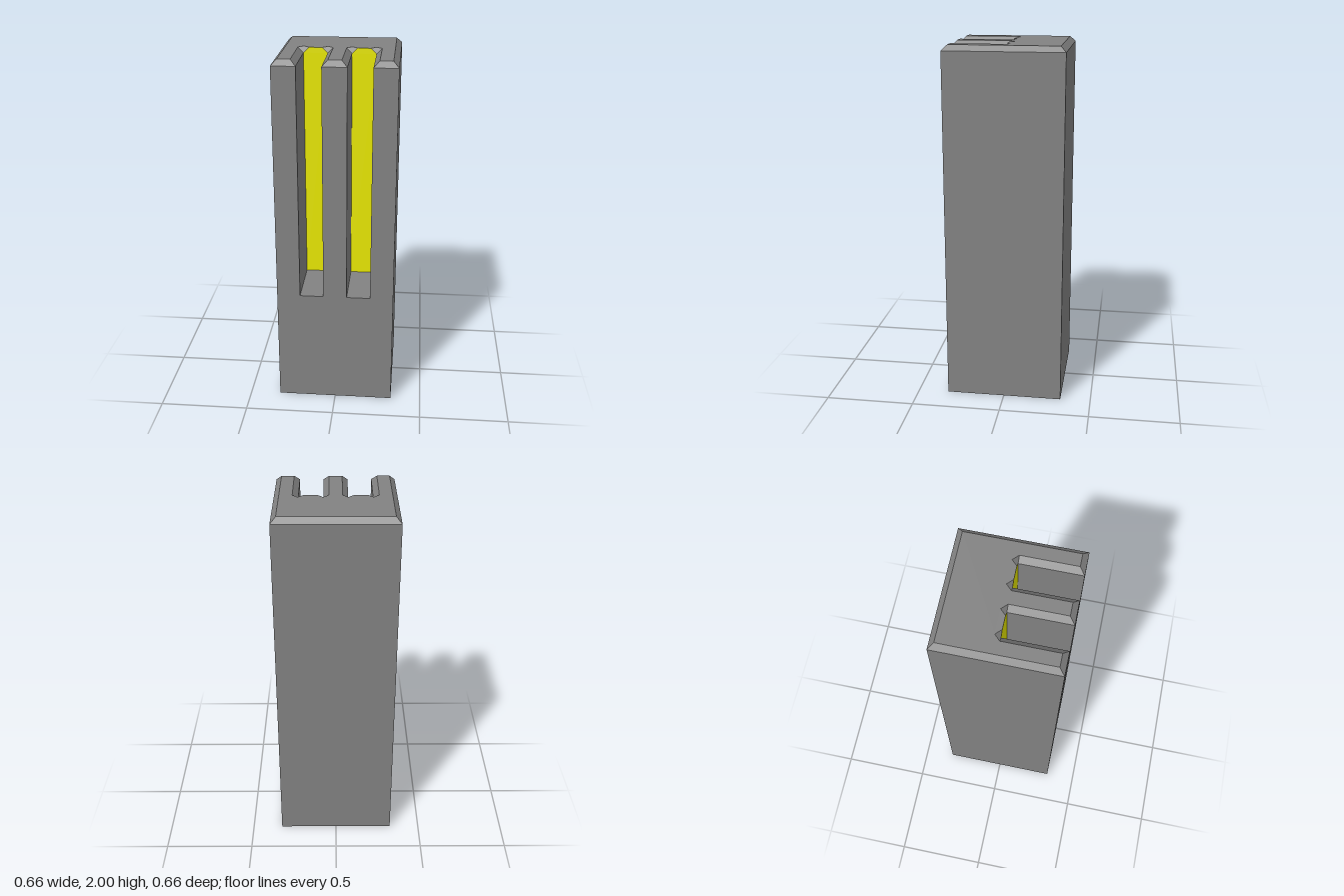
import * as THREE from 'three';

const H = 0.328, C = 0.03, TOP = 2, SHOULDER = TOP - C, FLOOR = 0.66;
const SLOTS = [[-0.198, -0.066], [0.066, 0.198]];
const GREY = 0x828282, YELLOW = 0xe8e800;

// Mesh from quads [a, b, c, d], counter-clockwise from outside; flat unless one shared normal is given
function quadMesh(name, quads, color, normal) {
  const pos = [];
  for (const [a, b, c, d] of quads) pos.push(...a, ...b, ...c, ...a, ...c, ...d);
  const geo = new THREE.BufferGeometry();
  geo.setAttribute('position', new THREE.Float32BufferAttribute(pos, 3));
  geo.computeVertexNormals();
  if (normal) {
    const n = geo.attributes.normal;
    for (let i = 0; i < n.count; i++) n.setXYZ(i, normal.x, normal.y, normal.z);
  }
  const mesh = new THREE.Mesh(geo, new THREE.MeshStandardMaterial({ color, flatShading: !normal }));
  mesh.name = name;
  return mesh;
}

export function createModel() {
  // Paired plan points [x, z]: shoulder outline and the chamfered top outline
  const low = [[-H, -H], [-H, H]];
  const up = [[-H + C, -H + C], [-H + C, H - C]];
  for (const [a, b] of SLOTS) {
    low.push([a, H], [a, 0], [a, 0], [a, 0], [b, 0], [b, 0], [b, 0], [b, H]);
    up.push([a - C, H - C], [a - C, 0], [a, -C], [a + C, 0],
      [b - C, 0], [b, -C], [b + C, 0], [b + C, H - C]);
  }
  low.push([H, H], [H, -H]);
  up.push([H - C, H - C], [H - C, -H + C]);

  // Walls and chamfers around the outline; repeated shoulder points make the corner notches
  const at = ([x, z], y) => [x, y, z];
  const walls = [], chamfers = [], notches = [], panels = [];
  low.forEach((p, i) => {
    const j = (i + 1) % low.length, q = low[j];
    const slope = [at(p, SHOULDER), at(q, SHOULDER), at(up[j], TOP), at(up[i], TOP)];
    if (p[0] === q[0] && p[1] === q[1]) {
      notches.push(slope);
      return;
    }
    const slotBack = p[1] === 0 && q[1] === 0;
    const bottom = p[1] === 0 || q[1] === 0 ? FLOOR : 0;
    (slotBack ? panels : walls).push([at(p, bottom), at(q, bottom), at(q, SHOULDER), at(p, SHOULDER)]);
    (slotBack ? panels : chamfers).push(slope);
  });

  // Front below each slot, and slot floors
  const floors = [];
  for (const [a, b] of SLOTS) {
    walls.push([[a, 0, H], [b, 0, H], [b, FLOOR, H], [a, FLOOR, H]]);
    floors.push([[a, FLOOR, H], [b, FLOOR, H], [b, FLOOR, 0], [a, FLOOR, 0]]);
  }
  const base = [[[-H, 0, -H], [H, 0, -H], [H, 0, H], [-H, 0, H]]];

  const group = new THREE.Group();
  group.name = 'slottedBlock';
  group.add(
    quadMesh('walls', walls, GREY),
    quadMesh('topChamfers', chamfers, GREY),
    quadMesh('cornerNotches', notches, GREY, new THREE.Vector3(0, 1, 1).normalize()),
    quadMesh('slotFloors', floors, GREY),
    quadMesh('base', base, GREY),
    quadMesh('slotBackPanels', panels, YELLOW),
  );

  // Flat top with the slots cut into its outline
  const shape = new THREE.Shape(up.map(([x, z]) => new THREE.Vector2(x, -z)));
  const top = new THREE.Mesh(
    new THREE.ShapeGeometry(shape).rotateX(-Math.PI / 2).translate(0, TOP, 0),
    new THREE.MeshStandardMaterial({ color: GREY, flatShading: true }));
  top.name = 'top';
  group.add(top);
  return group;
}
